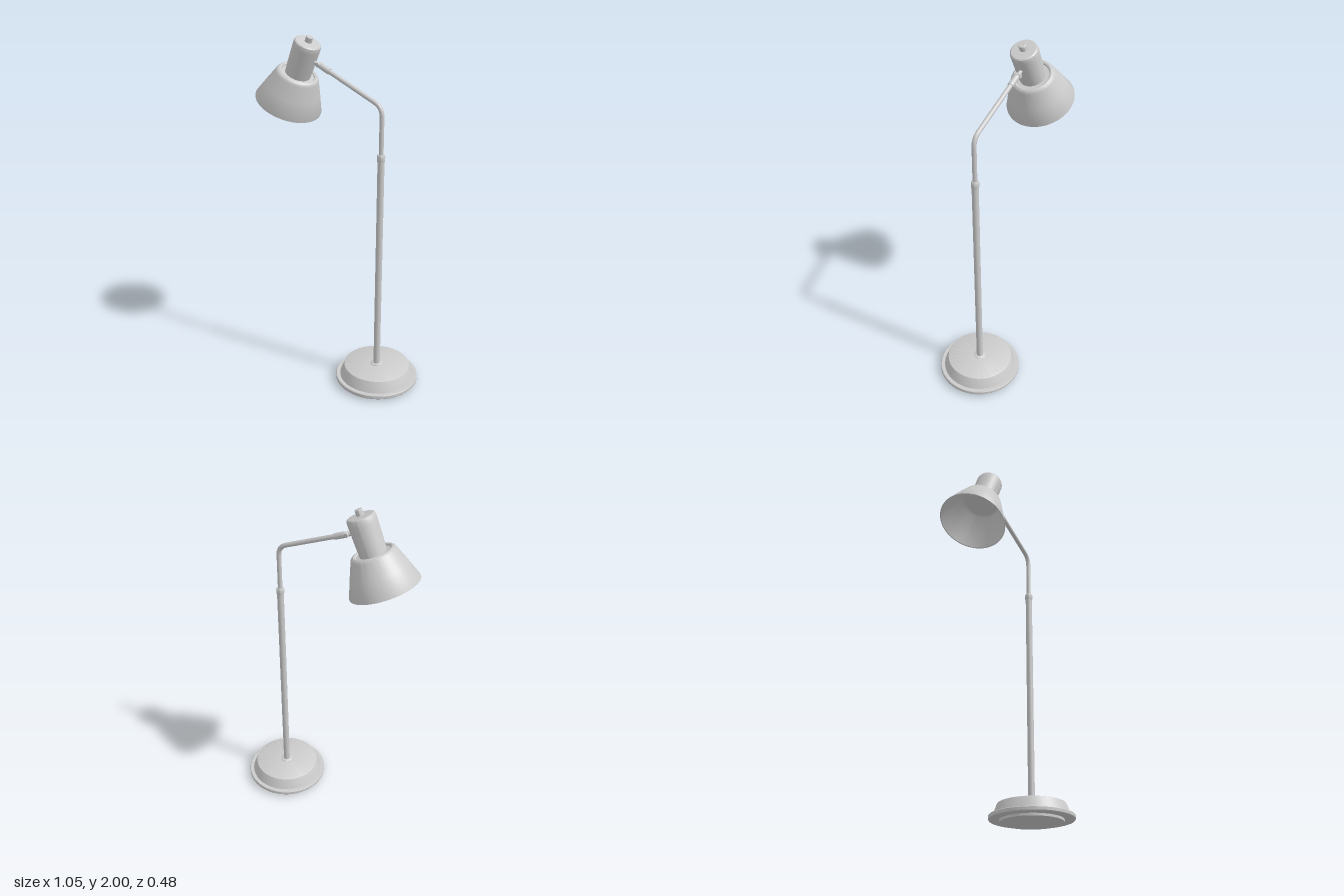
import * as THREE from 'three';
import { toCreasedNormals } from 'three/addons/utils/BufferGeometryUtils.js';

const material = new THREE.MeshStandardMaterial({ color: 0xcccccc });
const V = (x, y, z = 0) => new THREE.Vector3(x, y, z);
const UP = V(0, 1, 0);

function part(name, geometry, parent) {
  const mesh = new THREE.Mesh(geometry, material);
  mesh.name = name;
  parent.add(mesh);
  return mesh;
}

// Turned part from [radius, height] pairs
function turned(name, profile, parent, segments = 64) {
  const points = profile.map(([r, y]) => new THREE.Vector2(r, y));
  return part(name, toCreasedNormals(new THREE.LatheGeometry(points, segments), 0.6), parent);
}

// Round rod between two points
function rod(name, a, b, radius, parent) {
  const geometry = new THREE.CylinderGeometry(radius, radius, a.distanceTo(b), 24);
  const mesh = part(name, geometry, parent);
  mesh.position.copy(a).lerp(b, 0.5);
  mesh.quaternion.setFromUnitVectors(UP, b.clone().sub(a).normalize());
  return mesh;
}

export function createModel() {
  const lamp = new THREE.Group();
  lamp.name = 'floorLamp';

  // Stand: weighted foot, pole and collars on one vertical axis
  const stand = new THREE.Group();
  stand.name = 'stand';
  stand.position.x = 0.28;
  lamp.add(stand);
  turned('footPad', [[0, 0], [0.18, 0], [0.18, 0.016], [0, 0.016]], stand);
  turned('base', [
    [0, 0.014], [0.238, 0.014], [0.241, 0.018], [0.241, 0.034], [0.238, 0.038], [0.217, 0.038],
    [0.195, 0.095], [0.192, 0.101], [0.186, 0.104], [0, 0.105],
  ], stand, 96);
  turned('poleFlange', [[0, 0.1], [0.036, 0.1], [0.036, 0.107], [0.03, 0.111], [0, 0.111]], stand, 32);
  rod('pole', V(0, 0.1), V(0, 1.39), 0.019, stand);
  turned('poleCollar', [
    [0, 1.375], [0.021, 1.375], [0.022, 1.38], [0.022, 1.405], [0.018, 1.413], [0, 1.413],
  ], stand, 32);

  // Bent arm
  const arm = new THREE.Group();
  arm.name = 'arm';
  lamp.add(arm);
  const path = new THREE.CurvePath();
  path.add(new THREE.LineCurve3(V(0.28, 1.39), V(0.28, 1.62)));
  path.add(new THREE.QuadraticBezierCurve3(V(0.28, 1.62), V(0.28, 1.674), V(0.23, 1.694)));
  path.add(new THREE.LineCurve3(V(0.23, 1.694), V(-0.08, 1.827, 0.003)));
  part('armTube', new THREE.TubeGeometry(path, 90, 0.013, 16), arm);

  // Swivel joint between arm and lamp head
  rod('armFerrule', V(-0.055, 1.816, 0.003), V(-0.115, 1.842, 0.003), 0.017, arm);
  rod('jointPin', V(-0.11, 1.84, 0.003), V(-0.18, 1.862, 0.005), 0.01, arm);
  rod('jointScrew', V(-0.125, 1.846, -0.016), V(-0.125, 1.846, 0.022), 0.012, arm);

  // Tilted lamp head, origin at the centre of the shade opening
  const head = new THREE.Group();
  head.name = 'lampHead';
  head.position.set(-0.348, 1.599, -0.004);
  head.quaternion.setFromUnitVectors(UP, V(0.158, 0.364, 0.016).normalize());
  lamp.add(head);
  turned('shade', [
    [0, 0.19], [0.1, 0.19], [0.113, 0.18], [0.188, 0.001], [0.193, 0],
    [0.193, 0.004], [0.157, 0.1], [0.124, 0.183], [0.12, 0.193], [0.113, 0.2], [0.104, 0.203],
    [0.096, 0.2], [0.092, 0.193], [0, 0.193],
  ], head, 96);
  turned('socketHousing', [
    [0, 0.185], [0.072, 0.185], [0.074, 0.24], [0.077, 0.36], [0.077, 0.38], [0.074, 0.391],
    [0.068, 0.396], [0, 0.399],
  ], head);
  turned('capKnob', [[0, 0.39], [0.02, 0.39], [0.02, 0.426], [0.017, 0.43], [0, 0.43]], head, 32);

  return lamp;
}
